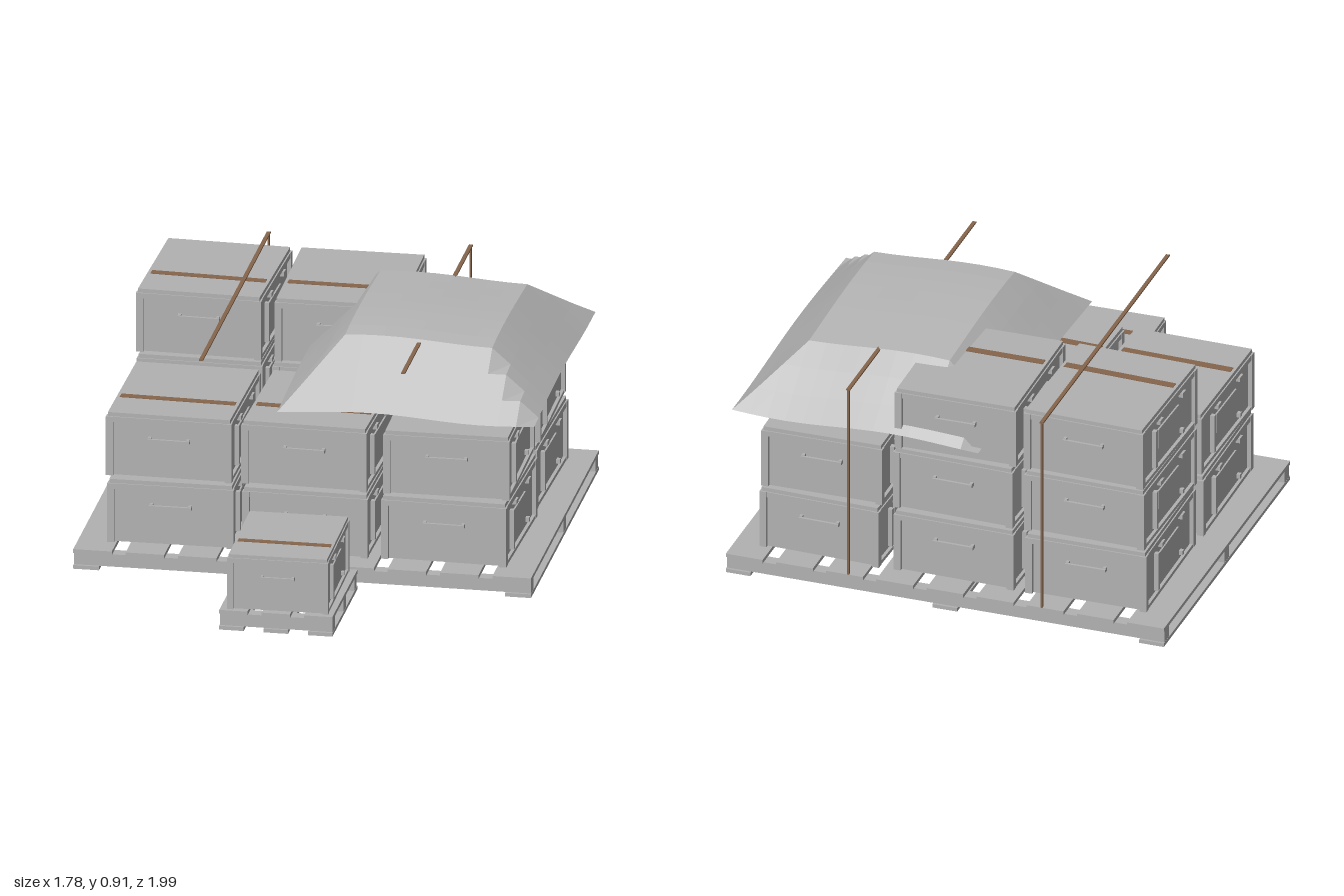
import * as THREE from 'three';

const paint = (name, color) => {
  const m = new THREE.MeshStandardMaterial({ color });
  m.name = name;
  return m;
};
const grey = paint('grey', 0xb2b2b2);
const brown = paint('strapBrown', 0x86664d);
const cloth = paint('clothGrey', 0xb6b6b6);
cloth.side = THREE.DoubleSide;
cloth.flatShading = true;

function box(parent, name, mat, w, h, d, x, y, z) {
  const m = new THREE.Mesh(new THREE.BoxGeometry(w, h, d), mat);
  m.name = name;
  m.position.set(x, y, z);
  parent.add(m);
  return m;
}

// Pallet: boards along z on three cross beams, three runners below
function pallet(name, w, d, boards, boardW, runnerW) {
  const g = new THREE.Group();
  g.name = name;
  for (let i = 0; i < boards; i++) {
    const x = -w / 2 + boardW / 2 + (i * (w - boardW)) / (boards - 1);
    box(g, 'deckBoard', grey, boardW, 0.015, d, x, 0.0725, 0);
  }
  for (const s of [-1, 0, 1]) {
    box(g, 'crossBeam', grey, w - 0.002, 0.05, 0.05, 0, 0.04, s * (d / 2 - 0.035));
    box(g, 'runner', grey, runnerW, 0.015, d, s * (w - runnerW) / 2, 0.0075, 0);
  }
  return g;
}

// Crate: recessed core, corner posts, rails, lid, handles and side fittings
const W = 0.49, H = 0.255, D = 0.58;
function crate() {
  const g = new THREE.Group();
  g.name = 'crate';
  box(g, 'core', grey, W - 0.03, H - 0.012, D - 0.03, 0, (H - 0.012) / 2, 0);
  for (const sx of [-1, 1]) for (const sz of [-1, 1])
    box(g, 'cornerPost', grey, 0.028, H - 0.016, 0.028, sx * (W / 2 - 0.014), (H - 0.016) / 2, sz * (D / 2 - 0.014));
  for (const s of [-1, 1]) {
    box(g, 'endTopRail', grey, W - 0.056, 0.022, 0.02, 0, H - 0.027, s * (D / 2 - 0.012));
    box(g, 'sideTopRail', grey, 0.02, 0.022, D - 0.056, s * (W / 2 - 0.012), H - 0.027, 0);
    box(g, 'sideBottomRail', grey, 0.02, 0.015, D - 0.056, s * (W / 2 - 0.012), 0.0075, 0);
  }
  box(g, 'lid', grey, W - 0.014, 0.016, D - 0.014, 0, H - 0.008, 0);
  box(g, 'lidStrap', brown, W - 0.04, 0.003, 0.034, 0, H + 0.001, 0.1).rotation.y = -0.015;

  // Both halves carry the same fittings, turned half a circle
  for (const turn of [0, Math.PI]) {
    const half = new THREE.Group();
    half.name = 'fittings';
    half.rotation.y = turn;
    box(half, 'handleBar', grey, 0.163, 0.011, 0.01, 0, 0.155, D / 2 + 0.005);
    for (const s of [-1, 1])
      box(half, 'handleMount', grey, 0.012, 0.016, 0.022, s * 0.075, 0.155, D / 2 - 0.009);
    const x = W / 2 - 0.013;
    box(half, 'sideBar', grey, 0.03, 0.16, 0.02, x, 0.105, 0.145);
    box(half, 'labelPlate', grey, 0.009, 0.08, 0.22, x, 0.125, -0.007);
    box(half, 'latch', grey, 0.03, 0.018, 0.035, x, 0.2, 0.09);
    box(half, 'latch', grey, 0.03, 0.018, 0.035, x, 0.2, -0.145);
    box(half, 'catch', grey, 0.026, 0.018, 0.018, x, 0.04, -0.145);
    g.add(half);
  }
  return g;
}

// Cover sheet: raised rectangular plateau with sloping, gently waved borders
function cover() {
  const x0 = -0.11, x1 = 0.89, z0 = -0.92, z1 = 0.37, n = 14;
  const geo = new THREE.PlaneGeometry(x1 - x0, z1 - z0, n, n).rotateX(-Math.PI / 2);
  geo.translate((x0 + x1) / 2, 0, (z0 + z1) / 2);
  const p = geo.attributes.position;
  for (let i = 0; i < p.count; i++) {
    const x = p.getX(i), z = p.getZ(i);
    const tx = Math.max(0, (0.1 - x) / 0.21, (x - 0.68) / 0.21);
    const tz = Math.max(0, (z - 0.09) / 0.28, (-0.65 - z) / 0.27);
    const wave = 0.011 * Math.sin(7 * (x - 0.02)) + 0.011 * Math.cos(4.5 * (z + 0.15));
    p.setY(i, 0.888 + wave - 0.205 * Math.min(1, Math.max(tx, tz)));
  }
  geo.computeVertexNormals();
  const m = new THREE.Mesh(geo, cloth);
  m.name = 'coverSheet';
  return m;
}

export function createModel() {
  const root = new THREE.Group();
  root.name = 'crateStack';

  const large = pallet('largePallet', 1.78, 1.43, 9, 0.15, 0.1);
  large.position.z = -0.275;
  const small = pallet('smallPallet', 0.44, 0.53, 3, 0.11, 0.095);
  small.position.z = 0.73;
  root.add(large, small);

  // Stacks: x, z, number of crates
  const stacks = [
    [-0.535, 0.045, 2], [-0.005, 0.045, 2], [0.538, 0.045, 2],
    [-0.535, -0.605, 3], [-0.005, -0.605, 3], [0.538, -0.605, 2],
  ];
  const base = [0.08, 0.35, 0.615];
  const twist = [0.012, -0.012, -0.025];
  stacks.forEach(([x, z, count], i) => {
    for (let k = 0; k < count; k++) {
      const c = crate();
      c.position.set(x, base[k], z);
      c.rotation.y = twist[(i + k) % 3];
      root.add(c);
    }
  });
  const single = crate();
  single.scale.set(0.8, 0.87, 0.85);
  single.position.set(0, 0.08, 0.73);
  single.rotation.y = 0.015;
  root.add(single);

  // Tie bands over the load and down the back
  for (const x of [-0.393, 0.393]) {
    box(root, 'topBand', brown, 0.015, 0.006, 1.43, x, 0.884, -0.275);
    box(root, 'backBand', brown, 0.007, 0.805, 0.015, x, 0.4825, -0.983);
  }
  root.add(cover());
  return root;
}
